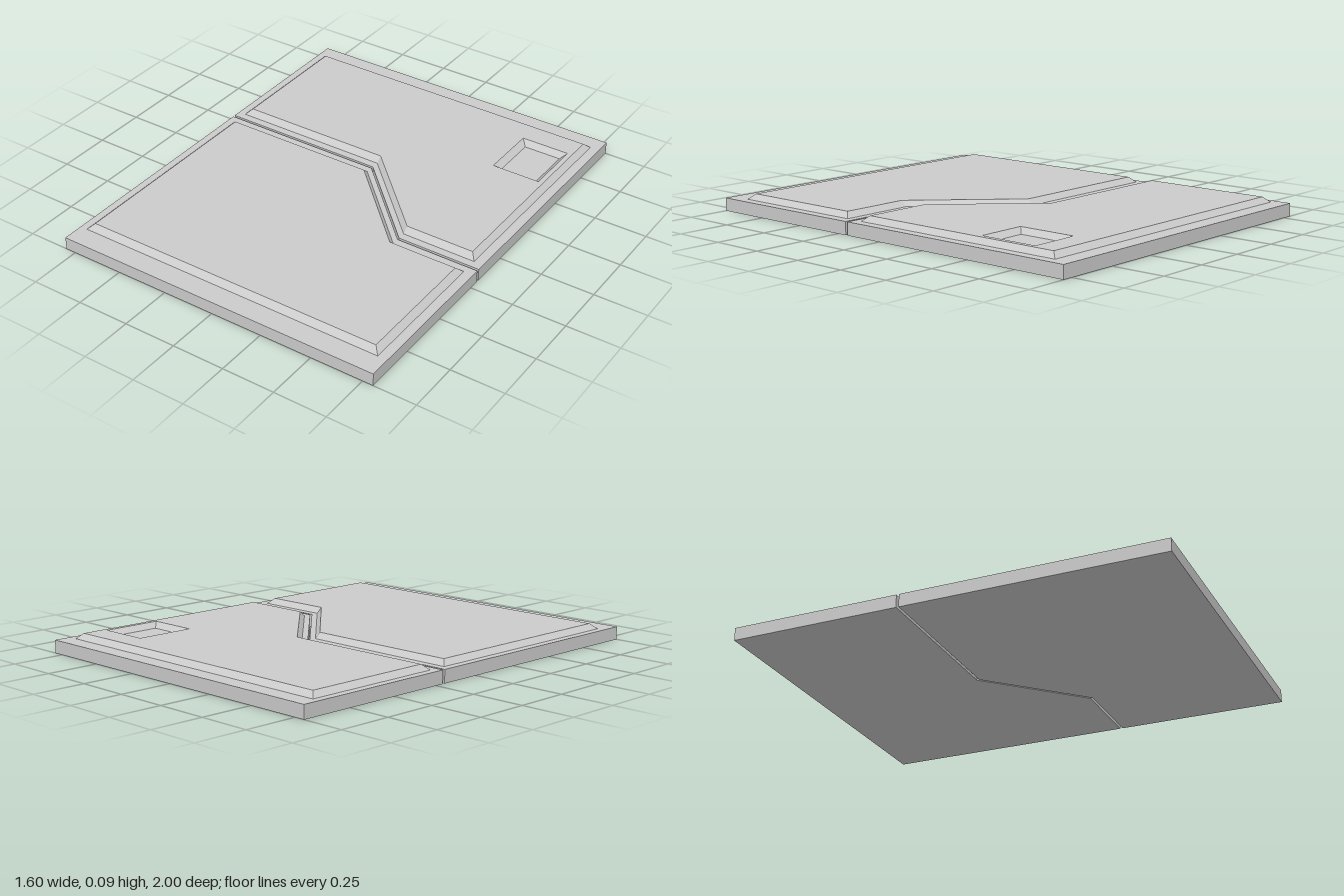
import * as THREE from 'three';

const BASE = 0.06, TOP = 0.085; // slab height and raised panel height
const material = new THREE.MeshStandardMaterial({ color: 0xcccccc, flatShading: true });

// Loops are [x, z] corners, anticlockwise seen from above.
const backLoop = (x0, x1, zBack, zSplit) => [
  [x0, zSplit], [0, zSplit], [0.4, zSplit + 0.4], [x1, zSplit + 0.4], [x1, zBack], [x0, zBack],
];
const frontLoop = (x0, x1, zFront, zSplit) => [
  [x0, zFront], [x1, zFront], [x1, zSplit + 0.4], [0.4, zSplit + 0.4], [0, zSplit], [x0, zSplit],
];
const rectLoop = (x0, x1, z0, z1) => [[x0, z1], [x1, z1], [x1, z0], [x0, z0]];

// Walls joining each level to the next
function addWalls(out, levels) {
  for (let k = 0; k + 1 < levels.length; k++) {
    const [a, ya] = levels[k], [b, yb] = levels[k + 1];
    a.forEach((p, i) => {
      const j = (i + 1) % a.length;
      const A = [p[0], ya, p[1]], B = [a[j][0], ya, a[j][1]];
      const C = [b[j][0], yb, b[j][1]], D = [b[i][0], yb, b[i][1]];
      out.push(...A, ...B, ...C, ...A, ...C, ...D);
    });
  }
}

// Flat face filling a loop, with optional holes
function addCap(out, loop, y, holes = [], down = false) {
  const flat = (l) => l.map(([x, z]) => new THREE.Vector2(x, -z));
  const points = [loop, ...holes].flat();
  for (const face of THREE.ShapeUtils.triangulateShape(flat(loop), holes.map((h) => flat(h).reverse()))) {
    // hole corners were reversed, so look them up the same way
    const all = [...loop, ...holes.flatMap((h) => [...h].reverse())];
    const order = down ? [...face].reverse() : face;
    if (points.length) order.forEach((i) => out.push(all[i][0], y, all[i][1]));
  }
}

// Slab with a bevelled raised panel and an optional sunken pocket
function slab(name, edge, foot, top, pocket) {
  const out = [];
  addCap(out, edge, 0, [], true);
  addWalls(out, [[edge, 0], [edge, BASE], [foot, BASE], [top, TOP]]);
  addCap(out, top, TOP, pocket ? [pocket[0]] : []);
  if (pocket) {
    addWalls(out, [[pocket[0], TOP], [pocket[1], BASE]]);
    addCap(out, pocket[1], BASE);
  }
  const geometry = new THREE.BufferGeometry();
  geometry.setAttribute('position', new THREE.Float32BufferAttribute(out, 3));
  geometry.computeVertexNormals();
  const mesh = new THREE.Mesh(geometry, material);
  mesh.name = name;
  return mesh;
}

export function createModel() {
  const group = new THREE.Group();
  group.name = 'splitPanel';
  group.add(
    slab('backPanel',
      backLoop(-0.8, 0.8, -1, -0.21),
      backLoop(-0.765, 0.755, -0.92, -0.247),
      backLoop(-0.738, 0.73, -0.893, -0.275),
      [rectLoop(0.472, 0.707, -0.78, -0.5), rectLoop(0.5, 0.68, -0.753, -0.527)]),
    slab('frontPanel',
      frontLoop(-0.8, 0.8, 1, -0.198),
      frontLoop(-0.765, 0.755, 0.9, -0.163),
      frontLoop(-0.738, 0.728, 0.872, -0.135)),
  );
  return group;
}
